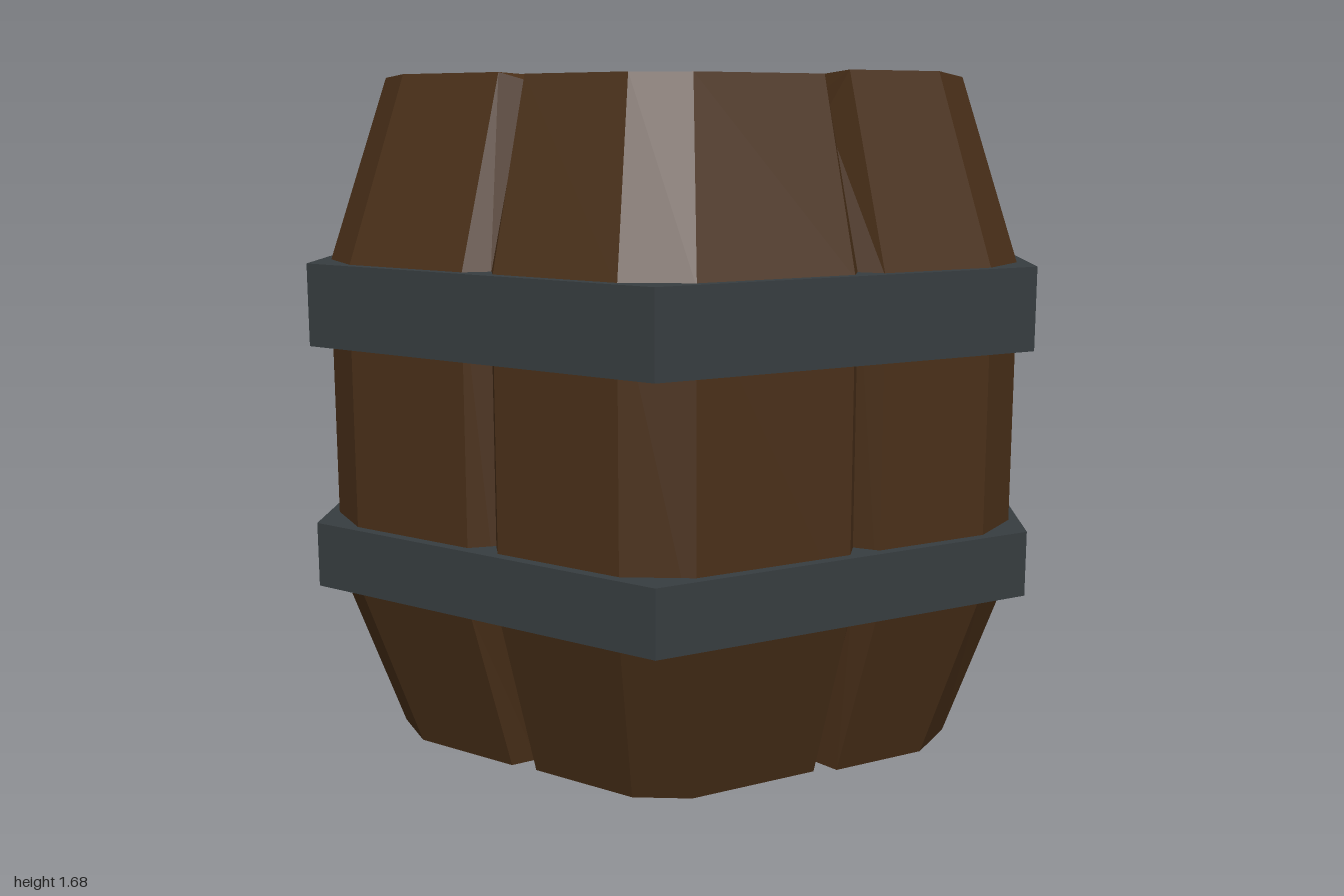
import * as THREE from 'three';

const WOOD = 0x4a3019, IRON = 0x373d40;

// One entry per side, counter from +x towards +z: groove centre along the side,
// groove half width, groove depth, stave height offsets and depth of the chip in the top rim
const SIDES = [
  { c: -0.05, w: 0.04, d: 0.05, up: [0.01, 0.0], chip: 0.09 },
  { c: -0.005, w: 0.045, d: 0.05, up: [0.0, 0.005], chip: 0.012 },
  { c: 0.0, w: 0.04, d: 0.06, up: [0.0, 0.01], chip: 0.012 },
  { c: 0.03, w: 0.035, d: 0.05, up: [0.0, 0.005], chip: 0.012 },
  { c: -0.035, w: 0.035, d: 0.05, up: [0.01, 0.0], chip: 0.012 },
  { c: 0.0, w: 0.04, d: 0.05, up: [0.005, 0.0], chip: 0.012 },
];

// Point on a side: a = distance from the axis, t = distance along the side
function sidePoint(k, a, t, y) {
  const ang = Math.PI / 6 + (k * Math.PI) / 3;
  return new THREE.Vector3(
    a * Math.cos(ang) - t * Math.sin(ang), y, a * Math.sin(ang) + t * Math.cos(ang));
}

// Outer cross-section: hexagon with bevelled corners and a V groove in each side
function staveLoop(y, s, end = 0) {
  return SIDES.flatMap(({ c, w, d, up, chip }, k) => {
    const a = 0.84 * s, h = 0.388 * s;
    const [u, v] = up.map((n) => y + (end > 0 ? n : end < 0 ? -n : 0));
    const yMid = end > 0 ? y - chip : y;
    return [
      sidePoint(k, a, -h, u),
      sidePoint(k, a, (c - w) * s, u),
      sidePoint(k, a - d, c * s, yMid),
      sidePoint(k, a, (c + w) * s, v),
      sidePoint(k, a, h, v),
    ];
  });
}

// Hexagon of the sunken lid, with points matching the outer loop
function lidLoop(y, chipped = false) {
  const a = 0.5, h = a * Math.tan(Math.PI / 6);
  return SIDES.flatMap(({ c, w, chip }, k) => [
    sidePoint(k, a, -h, y),
    sidePoint(k, a, c - w, y),
    sidePoint(k, a, c, chipped && chip > 0.05 ? y - chip : y),
    sidePoint(k, a, c + w, y),
    sidePoint(k, a, h, y),
  ]);
}

// Joins closed loops into one faceted skin
function skin(loops) {
  const pos = [];
  const tri = (...pts) => pts.forEach((p) => pos.push(p.x, p.y, p.z));
  for (let r = 0; r < loops.length - 1; r++) {
    const lo = loops[r], hi = loops[r + 1];
    for (let i = 0; i < lo.length; i++) {
      const j = (i + 1) % lo.length;
      tri(lo[i], hi[i], hi[j]);
      tri(lo[i], hi[j], lo[j]);
    }
  }
  const geo = new THREE.BufferGeometry();
  geo.setAttribute('position', new THREE.Float32BufferAttribute(pos, 3));
  geo.computeVertexNormals();
  return geo;
}

function hexPath(PathType, r) {
  const pts = [];
  for (let k = 0; k < 6; k++) {
    pts.push(new THREE.Vector2(r * Math.cos((k * Math.PI) / 3), r * Math.sin((k * Math.PI) / 3)));
  }
  return new PathType(pts);
}

// Six-sided iron hoop between two heights
function hoop(name, y0, y1, material) {
  const shape = hexPath(THREE.Shape, 1);
  shape.holes.push(hexPath(THREE.Path, 0.89));
  const geo = new THREE.ExtrudeGeometry(shape, { depth: y1 - y0, bevelEnabled: false });
  geo.rotateX(-Math.PI / 2).translate(0, y0, 0);
  const mesh = new THREE.Mesh(geo, material);
  mesh.name = name;
  return mesh;
}

export function createModel() {
  const group = new THREE.Group();
  group.name = 'barrel';
  const wood = new THREE.MeshStandardMaterial({ color: WOOD, flatShading: true });
  const iron = new THREE.MeshStandardMaterial({ color: IRON, flatShading: true });

  // Staves with rims, from the sunken base up and over to the sunken lid
  const staves = new THREE.Mesh(skin([
    lidLoop(0.13),
    lidLoop(0.015),
    staveLoop(0.012, 0.835, -1),
    staveLoop(0.44, 1),
    staveLoop(1.22, 1),
    staveLoop(1.67, 0.835, 1),
    lidLoop(1.67, true),
    lidLoop(1.55),
  ]), wood);
  staves.name = 'staves';
  group.add(staves);

  // Lid and base boards closing the recesses
  const radius = 0.5 / Math.cos(Math.PI / 6);
  for (const [name, y, turn] of [['lid', 1.55, -1], ['base', 0.13, 1]]) {
    const board = new THREE.Mesh(new THREE.CircleGeometry(radius, 6), wood);
    board.name = name;
    board.rotation.x = (turn * Math.PI) / 2;
    board.position.y = y;
    group.add(board);
  }

  group.add(hoop('lowerHoop', 0.43, 0.59, iron), hoop('upperHoop', 1.03, 1.23, iron));
  return group;
}
